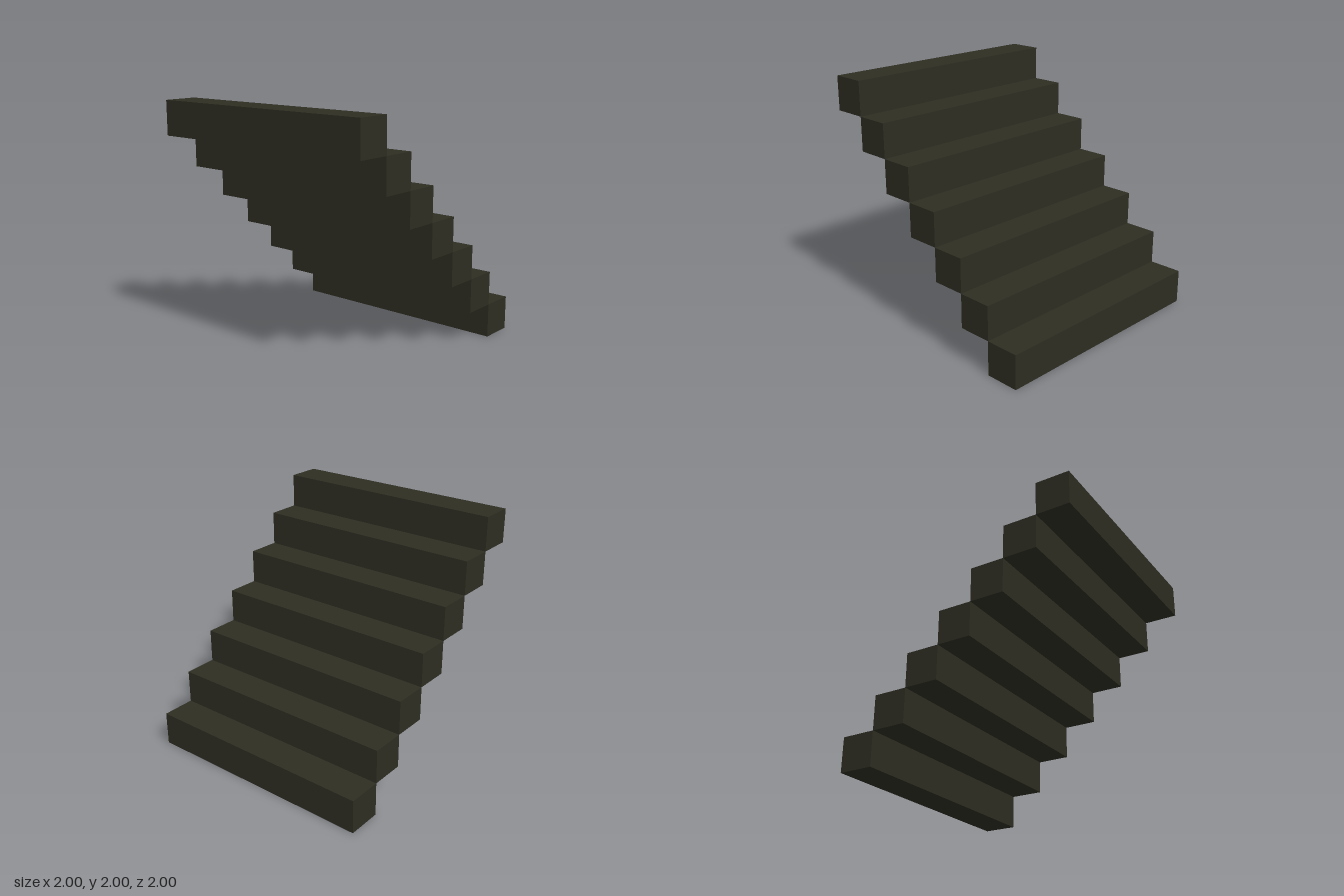
import * as THREE from 'three';

// A straight flight of seven square-section steps, climbing towards the front.
export function createModel() {
  const group = new THREE.Group();
  group.name = 'staircase';

  const darkOlive = new THREE.MeshStandardMaterial({ color: 0x2d2d22 });
  darkOlive.name = 'darkOlive';

  const count = 7;
  const size = 2 / count; // rise and run of each step
  const stepGeometry = new THREE.BoxGeometry(2, size, size);

  for (let i = 0; i < count; i++) {
    const step = new THREE.Mesh(stepGeometry, darkOlive);
    step.name = `step${i + 1}`;
    step.position.set(0, (i + 0.5) * size, -1 + (i + 0.5) * size);
    group.add(step);
  }
  return group;
}
